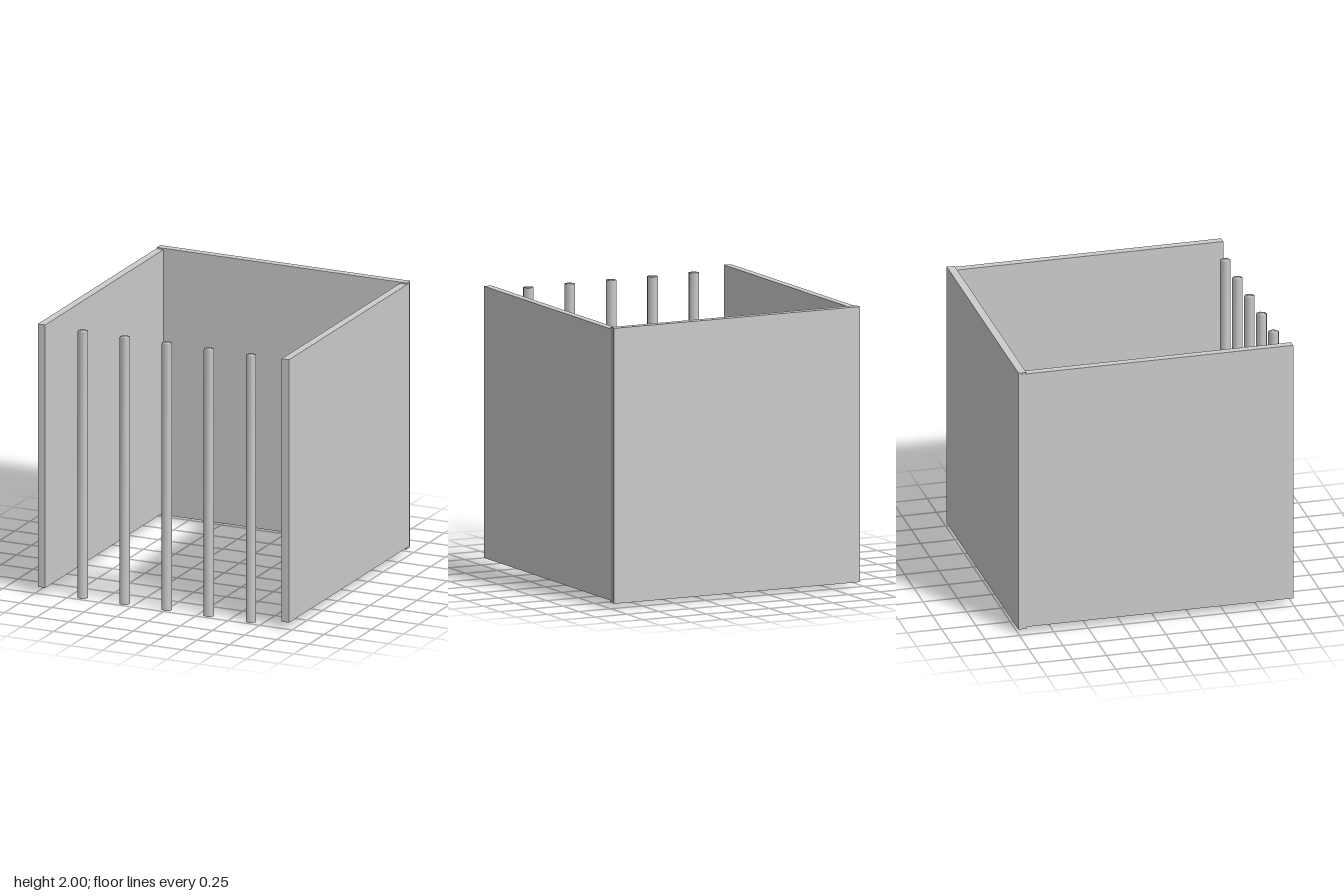
import * as THREE from 'three';
import { mergeVertices } from 'three/addons/utils/BufferGeometryUtils.js';

const material = new THREE.MeshStandardMaterial({ color: 0xcccccc });

// Box panel given by its minimum and maximum corners
function panel(name, min, max) {
  const size = max.map((v, i) => v - min[i]);
  const mesh = new THREE.Mesh(new THREE.BoxGeometry(...size), material);
  mesh.position.set(...max.map((v, i) => (v + min[i]) / 2));
  mesh.name = name;
  return mesh;
}

export function createModel() {
  const group = new THREE.Group();
  group.name = 'cage';

  // Back wall, slightly taller than the side walls
  group.add(panel('backWall', [-0.972, 0.033, -1], [0.972, 2, -0.943]));

  // Side walls, their rear ends set into the back wall
  group.add(panel('leftWall', [0.92, 0.05, -0.978], [0.977, 1.99, 1]));
  group.add(panel('rightWall', [-0.977, 0.05, -0.978], [-0.92, 1.99, 1]));

  // Eight-sided front bars, with smooth normals running over the caps
  const height = 1.965;
  let barGeometry = new THREE.CylinderGeometry(0.039, 0.039, height, 8);
  barGeometry.deleteAttribute('normal');
  barGeometry.deleteAttribute('uv');
  barGeometry = mergeVertices(barGeometry);
  barGeometry.computeVertexNormals();

  const bars = new THREE.Group();
  bars.name = 'frontBars';
  for (let i = -2; i <= 2; i++) {
    const bar = new THREE.Mesh(barGeometry, material);
    bar.name = 'bar';
    bar.position.set(i * 0.327, height / 2, 0.943);
    bars.add(bar);
  }
  group.add(bars);

  return group;
}
